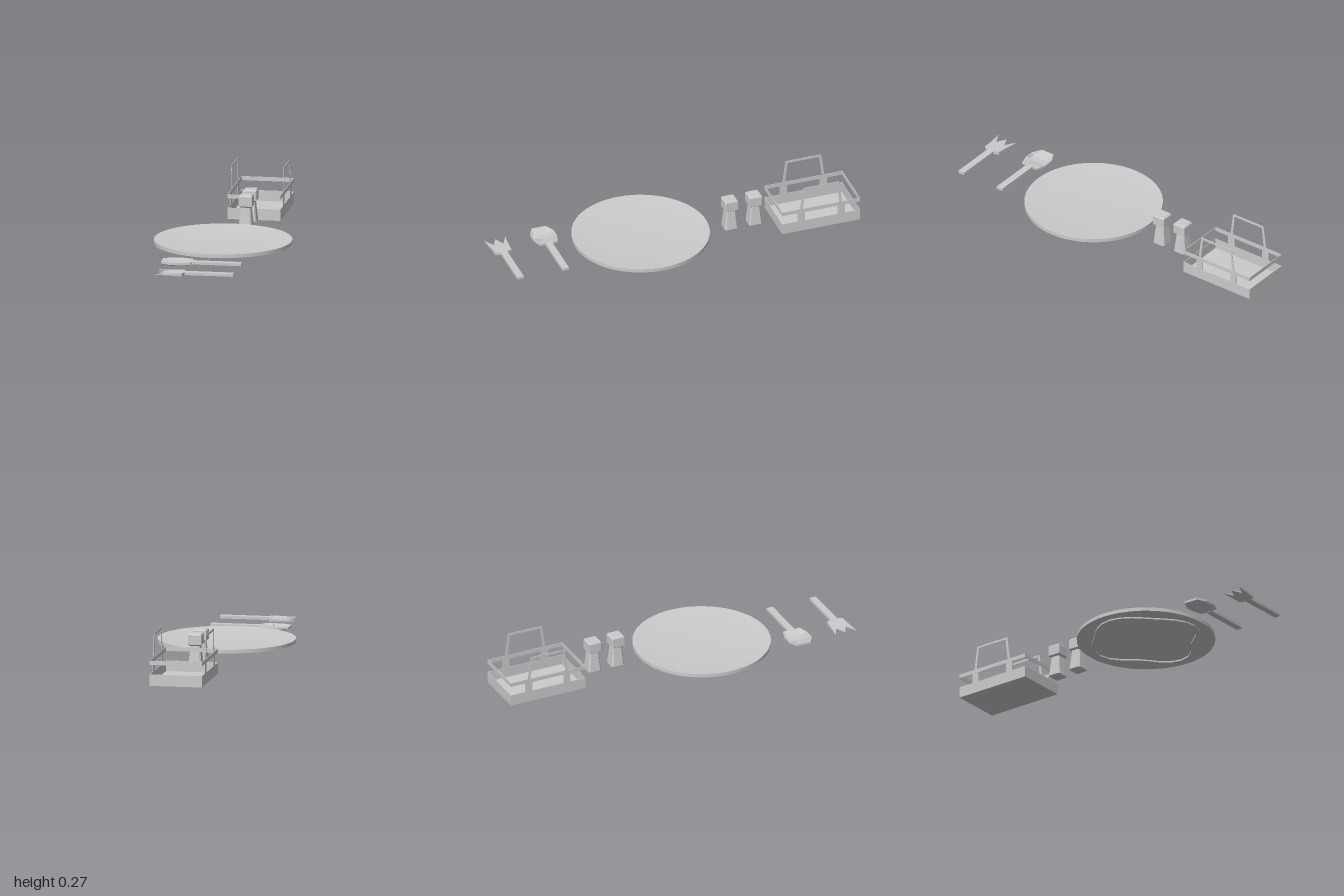
import * as THREE from 'three';

const mat = new THREE.MeshStandardMaterial({ color: 0xcccccc, flatShading: true, side: THREE.DoubleSide });
const smooth = new THREE.MeshStandardMaterial({ color: 0xcccccc, side: THREE.DoubleSide });

function add(parent, name, geo, x = 0, y = 0, z = 0, m = mat) {
  const mesh = new THREE.Mesh(geo, m);
  mesh.name = name;
  mesh.position.set(x, y, z);
  parent.add(mesh);
  return mesh;
}

// Box given by its limits on each axis
function box(parent, name, [x0, x1], [y0, y1], [z0, z1]) {
  return add(parent, name, new THREE.BoxGeometry(x1 - x0, y1 - y0, z1 - z0),
    (x0 + x1) / 2, (y0 + y1) / 2, (z0 + z1) / 2);
}

// Skin over horizontal rings { y, pts: [[x, z], ...] }, closed at both ends
function loft(rings) {
  const pos = [];
  const put = (r, i) => pos.push(r.pts[i][0], r.y, r.pts[i][1]);
  const n = rings[0].pts.length;
  for (let k = 0; k < rings.length - 1; k++) {
    const a = rings[k], b = rings[k + 1];
    for (let i = 0; i < n; i++) {
      const j = (i + 1) % n;
      put(a, i); put(a, j); put(b, j);
      put(a, i); put(b, j); put(b, i);
    }
  }
  const lo = rings[0], hi = rings[rings.length - 1];
  for (let i = 1; i < n - 1; i++) {
    put(lo, 0); put(lo, i + 1); put(lo, i);
    put(hi, 0); put(hi, i); put(hi, i + 1);
  }
  const g = new THREE.BufferGeometry();
  g.setAttribute('position', new THREE.Float32BufferAttribute(pos, 3));
  g.computeVertexNormals();
  return g;
}

// Square ring with cut corners
function cutSquare(y, h, c) {
  const k = h - c;
  return { y, pts: [[h, k], [h, -k], [k, -h], [-k, -h], [-h, -k], [-h, k], [-k, h], [k, h]] };
}

// Flat shape on the ground plane, raised to a thickness
function slab(points, y, depth, hole) {
  const toShape = (p) => p.map(([x, z]) => new THREE.Vector2(x, -z));
  const s = new THREE.Shape(toShape(points));
  if (hole) s.holes.push(new THREE.Path(toShape(hole)));
  return new THREE.ExtrudeGeometry(s, { depth, bevelEnabled: false }).rotateX(-Math.PI / 2).translate(0, y, 0);
}

function createPlate() {
  const g = new THREE.Group();
  g.name = 'plate';
  const lathe = (pts) => new THREE.LatheGeometry(pts.map(([r, y]) => new THREE.Vector2(r, y)), 64);
  add(g, 'plateDish', lathe([[0, 0.049], [0.12, 0.0495], [0.22, 0.052], [0.3, 0.056], [0.35, 0.0605], [0.372, 0.062]].reverse()), 0, 0, 0, smooth);
  add(g, 'plateRim', lathe([[0.372, 0.042], [0.372, 0.062]]), 0, 0, 0, smooth);
  add(g, 'plateUnderside', lathe([[0, 0.042], [0.372, 0.042]]), 0, 0, 0, smooth);
  // Foot ring: a rounded square set cornerwise
  const outline = (corner, mid, n) => Array.from({ length: n }, (_, i) => {
    const a = (i / n) * Math.PI * 2;
    const r = mid + (corner - mid) * Math.abs(Math.cos(2 * a)) ** 2 * (Math.cos(2 * a) ** 2 > 0 ? 1 : 0);
    return [r * Math.cos(a), r * Math.sin(a)];
  });
  add(g, 'plateFoot', slab(outline(0.325, 0.283, 32), 0.034, 0.0085, outline(0.31, 0.245, 32)));
  g.position.z = 0.185;
  return g;
}

function createFork() {
  const g = new THREE.Group();
  g.name = 'fork';
  box(g, 'forkHandle', [-0.09, 0.185], [0.035, 0.05], [-0.019, 0.019]);
  const half = [[-0.08, 0.02], [-0.09, 0.047], [-0.14, 0.05], [-0.23, 0.061], [-0.165, 0.027]];
  const head = [...half, [-0.222, 0], ...half.map(([x, z]) => [x, -z]).reverse()];
  const geo = slab(head, 0.032, 0.018);
  // Thin the tines towards their tips
  const p = geo.attributes.position;
  for (let i = 0; i < p.count; i++) {
    const t = THREE.MathUtils.clamp((-0.085 - p.getX(i)) / 0.14, 0, 1);
    p.setY(i, 0.042 + (p.getY(i) - 0.042) * (1 - 0.85 * t));
  }
  geo.computeVertexNormals();
  add(g, 'forkHead', geo);
  g.position.z = 0.935;
  return g;
}

function createSpoon() {
  const g = new THREE.Group();
  g.name = 'spoon';
  box(g, 'spoonHandle', [-0.09, 0.185], [0.035, 0.05], [-0.019, 0.019]);
  const rim = [[-0.085, 0.05], [-0.085, -0.05], [-0.14, -0.067], [-0.195, -0.067],
    [-0.248, -0.04], [-0.248, 0.04], [-0.195, 0.067], [-0.14, 0.067]];
  const shrink = (s) => rim.map(([x, z]) => [-0.167 + (x + 0.167) * s, z * s]);
  const floor = [[-0.149, 0.03], [-0.149, -0.03], [-0.149, -0.055], [-0.186, -0.055],
    [-0.186, -0.03], [-0.186, 0.03], [-0.186, 0.055], [-0.149, 0.055]];
  add(g, 'spoonBowl', loft([
    { y: 0.03, pts: shrink(0.72) }, { y: 0.038, pts: rim }, { y: 0.05, pts: rim },
    { y: 0.05, pts: shrink(0.9) }, { y: 0.039, pts: floor },
  ]));
  g.position.z = 0.678;
  return g;
}

function createShaker(z) {
  const g = new THREE.Group();
  g.name = 'shaker';
  add(g, 'shakerBody', loft([cutSquare(0.015, 0.031, 0.007), cutSquare(0.02, 0.037, 0.008), cutSquare(0.132, 0.026, 0.006)]));
  add(g, 'shakerCap', loft([cutSquare(0.13, 0.027, 0.003), cutSquare(0.138, 0.037, 0.003),
    cutSquare(0.19, 0.037, 0.003), cutSquare(0.197, 0.031, 0.003)]));
  g.position.set(0.042, 0, z);
  return g;
}

function createCaddy() {
  const g = new THREE.Group();
  g.name = 'caddy';
  const X = 0.1435, Z = 0.222, T = 0.003;
  box(g, 'caddyFloor', [-X, X], [0, 0.004], [-Z, Z]);
  // Four tray walls and, above them, four rail strips
  for (const [name, y] of [['caddyWall', [0, 0.062]], ['caddyRail', [0.114, 0.136]]]) {
    for (const s of [-1, 1]) {
      const span = (v) => [s * v, s * (v - T)].sort((a, b) => a - b);
      box(g, name, span(X), y, [-Z, Z]);
      box(g, name, [-X + T, X - T], y, span(Z));
    }
  }
  // Handle frames on two posts along each long side
  const frame = new THREE.Shape([[-0.121, 0.125], [0.121, 0.125], [0.102, 0.267], [-0.102, 0.267]].map((p) => new THREE.Vector2(...p)));
  frame.holes.push(new THREE.Path([[-0.104, 0.136], [0.104, 0.136], [0.09, 0.254], [-0.09, 0.254]].map((p) => new THREE.Vector2(...p))));
  const frameGeo = new THREE.ExtrudeGeometry(frame, { depth: T, bevelEnabled: false }).rotateY(Math.PI / 2);
  for (const s of [-1, 1]) {
    const x = s > 0 ? X - T : -X;
    add(g, 'caddyHandle', frameGeo, x);
    for (const t of [-1, 1]) {
      box(g, 'caddyPost', [x, x + T], [0.06, 0.116], [t * 0.114 - 0.021, t * 0.114 + 0.021]);
    }
  }
  g.position.set(0.0415, 0, -0.778);
  return g;
}

export function createModel() {
  const model = new THREE.Group();
  model.name = 'tableSetting';
  model.add(createPlate(), createFork(), createSpoon(), createShaker(-0.307), createShaker(-0.445), createCaddy());
  return model;
}
